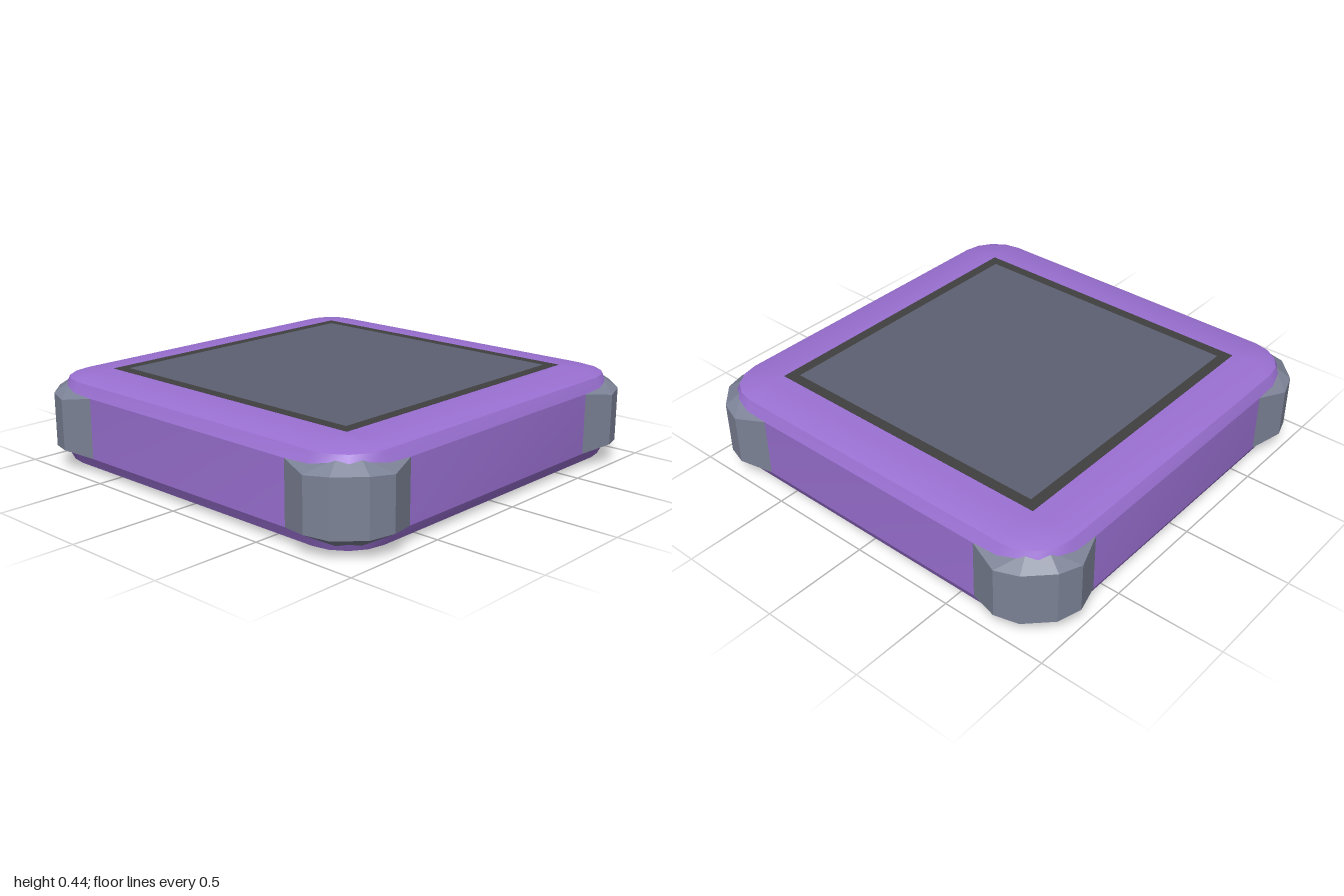
import * as THREE from 'three';
import { toCreasedNormals } from 'three/addons/utils/BufferGeometryUtils.js';
import { ConvexGeometry } from 'three/addons/geometries/ConvexGeometry.js';

const HEIGHT = 0.437;
const MID = HEIGHT / 2;

const material = (color, flatShading = false) =>
  new THREE.MeshStandardMaterial({ color, flatShading });

// Corners of a horizontal rounded square with half-width h
function roundedSquare(h, y, steps = 4) {
  const centre = 0.73;
  const r = h - centre;
  const points = [];
  for (let q = 0; q < 4; q++) {
    for (let i = 0; i <= steps; i++) {
      const a = (q + i / steps) * Math.PI / 2;
      const mid = (q + 0.5) * Math.PI / 2;
      points.push(new THREE.Vector3(
        Math.sign(Math.cos(mid)) * centre + Math.cos(a) * r, y,
        Math.sign(Math.sin(mid)) * centre + Math.sin(a) * r));
    }
  }
  return points;
}

// Cushion-shaped case lofted through stacked rounded squares
function caseGeometry() {
  const half = [[0.95, 0.14], [0.925, 0.19], [0.87, 0.207], [0.75, 0.217]];
  const profile = [
    ...half.map(([h, d]) => [h, MID - d]).reverse(),
    ...half.map(([h, d]) => [h, MID + d]),
  ];
  const rings = profile.map(([h, y]) => roundedSquare(h, y));
  const n = rings[0].length;
  const positions = rings.flat().flatMap((p) => p.toArray());
  const last = (rings.length - 1) * n;
  const index = [];
  for (let k = 0; k < rings.length - 1; k++) {
    for (let i = 0; i < n; i++) {
      const j = (i + 1) % n;
      const a = k * n + i, b = k * n + j;
      index.push(a, a + n, b, b, a + n, b + n);
    }
  }
  // End caps
  for (let i = 1; i < n - 1; i++) {
    index.push(0, i, i + 1);
    index.push(last, last + i + 1, last + i);
  }
  const geometry = new THREE.BufferGeometry();
  geometry.setAttribute('position', new THREE.Float32BufferAttribute(positions, 3));
  geometry.setIndex(index);
  return toCreasedNormals(geometry, 0.45);
}

// Faceted bumper hugging one corner, tapering into the case at both ends
function bumperGeometry() {
  // [x, z, half-height]; each point is mirrored across the diagonal
  const outline = [
    [0.61, 0.95, 0.14], [0.755, 1.0, 0.118], [0.86, 0.965, 0.125],
    [0.83, 0.895, 0.175],
  ];
  const points = [];
  for (const [x, z, d] of outline) {
    for (const y of [MID - d, MID + d]) {
      points.push(new THREE.Vector3(x, y, z), new THREE.Vector3(z, y, x));
    }
  }
  return new ConvexGeometry(points);
}

// Thin square border around the screen
function frameGeometry(outer, inner, depth) {
  const square = (Type, s) => new Type([[-s, -s], [s, -s], [s, s], [-s, s]]
    .map(([x, y]) => new THREE.Vector2(x, y)));
  const shape = square(THREE.Shape, outer);
  shape.holes.push(square(THREE.Path, inner));
  return new THREE.ExtrudeGeometry(shape, { depth, bevelEnabled: false })
    .rotateX(-Math.PI / 2);
}

export function createModel() {
  const model = new THREE.Group();
  model.name = 'squareDevice';

  const add = (name, geometry, mat) => {
    const mesh = new THREE.Mesh(geometry, mat);
    mesh.name = name;
    model.add(mesh);
    return mesh;
  };

  add('case', caseGeometry(), material(0x9a70d2));

  // Corner bumpers
  const bumper = bumperGeometry();
  const bumperMaterial = material(0x7c8296, true);
  const names = ['frontLeftBumper', 'backLeftBumper', 'backRightBumper', 'frontRightBumper'];
  names.forEach((name, i) => {
    add(name, bumper, bumperMaterial).rotation.y = i * Math.PI / 2;
  });

  // Screen and its border, nearly flush with the top
  add('screenFrame', frameGeometry(0.725, 0.675, 0.01), material(0x404040))
    .position.y = HEIGHT - 0.01;
  add('screen', new THREE.BoxGeometry(1.35, 0.01, 1.35), material(0x5c6072))
    .position.y = HEIGHT - 0.005;

  return model;
}
